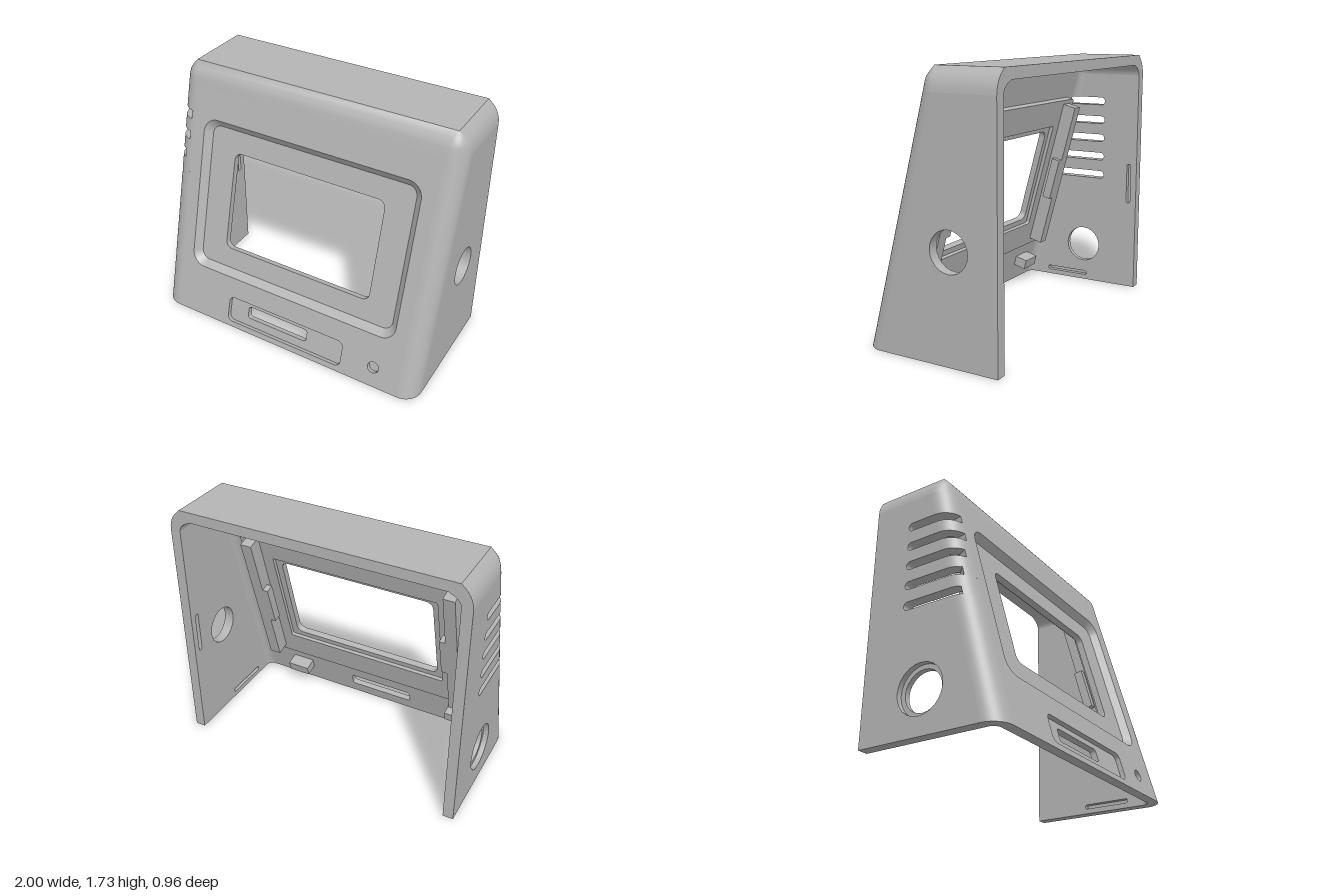
import * as THREE from 'three';
import { toCreasedNormals } from 'three/addons/utils/BufferGeometryUtils.js';

const TILT = Math.PI / 12, TAN = Math.tan(TILT), COS = Math.cos(TILT);
const WALL = 0.07, R = 0.12, BACK = -0.48, HOOD = 1.58;
const front = y => 0.48 - TAN * y;      // z of the sloping front at height y
const edge = y => front(y) - R;         // where the flat side meets the rounded corner

// ventilation slots: height of centre and the corner angle where each one ends
const slots = [[0.832, 29], [0.97, 45], [1.108, 65], [1.243, 80], [1.382, 80]];
const SLOT_R = 0.0275;

const plastic = new THREE.MeshStandardMaterial({ color: 0xb4b4b4 });
plastic.name = 'grey plastic';

function add(parent, name, geo) {
  const mesh = new THREE.Mesh(toCreasedNormals(geo, 0.6), plastic);
  mesh.name = name;
  parent.add(mesh);
  return mesh;
}

function roundRect(Kind, x0, y0, x1, y1, r) {
  const s = new Kind(), q = Math.PI / 2;
  s.absarc(x1 - r, y0 + r, r, -q, 0);
  s.absarc(x1 - r, y1 - r, r, 0, q);
  s.absarc(x0 + r, y1 - r, r, q, 2 * q);
  s.absarc(x0 + r, y0 + r, r, 2 * q, 3 * q);
  s.closePath();
  return s;
}

function circle(x, y, r) {
  const p = new THREE.Path();
  p.absarc(x, y, r, 0, Math.PI * 2);
  return p;
}

function extrude(shape, holes, depth) {
  shape.holes.push(...holes);
  return new THREE.ExtrudeGeometry(shape, { depth, bevelEnabled: false, curveSegments: 12 });
}

// skin over closed rings of points, with optional extra triangles
function loft(rings, extra = []) {
  const pos = [], n = rings[0].length;
  const tri = (...p) => p.forEach(v => pos.push(v.x, v.y, v.z));
  for (let k = 0; k < rings.length - 1; k++) {
    for (let i = 0; i < n; i++) {
      const j = (i + 1) % n, a = rings[k], b = rings[k + 1];
      tri(a[i], a[j], b[j]);
      tri(a[i], b[j], b[i]);
    }
  }
  extra.forEach(t => tri(...t));
  const g = new THREE.BufferGeometry();
  g.setAttribute('position', new THREE.Float32BufferAttribute(pos, 3));
  return g;
}

function arc(cx, cz, y, r, rz, a0, a1, n = 10) {
  return Array.from({ length: n + 1 }, (_, i) => {
    const a = THREE.MathUtils.degToRad(a0 + (a1 - a0) * i / n);
    return new THREE.Vector3(cx + r * Math.cos(a), y, cz + rz * Math.sin(a));
  });
}

// rounded vertical corner between two heights; start is the angle where it begins
function cornerBand(parent, side, y0, y1, start = 0) {
  const [a0, a1] = side > 0 ? [90, start] : [180 - start, 90];
  const rings = [y0, y1].map(y => [
    ...arc(side * (1 - R), edge(y), y, R, R, a0, a1),
    ...arc(side * (1 - R), edge(y), y, R - WALL, R - WALL / COS, a1, a0)]);
  const caps = [], n = rings[0].length, [b, t] = rings;
  for (let i = 0; i < n / 2 - 1; i++) {
    const j = n - 1 - i;
    caps.push([t[i], t[i + 1], t[j - 1]], [t[i], t[j - 1], t[j]]);
    caps.push([b[i], b[j - 1], b[i + 1]], [b[i], b[j], b[j - 1]]);
  }
  add(parent, 'frontCorner', loft(rings, caps));
}

// side outline in (z, y), notched by the ventilation slots when asked
function sideOutline(vented) {
  const s = new THREE.Shape();
  s.moveTo(BACK, 0);
  s.lineTo(edge(0), 0);
  if (vented) for (const [y] of slots) {
    s.lineTo(edge(y - SLOT_R), y - SLOT_R);
    s.absarc(-0.19, y, SLOT_R, -Math.PI / 2, Math.PI / 2, true);
    s.lineTo(edge(y + SLOT_R), y + SLOT_R);
  }
  s.lineTo(edge(HOOD), HOOD);
  s.lineTo(BACK, HOOD);
  s.closePath();
  return s;
}

function sideWall(parent, side) {
  const half = WALL / 2, vented = side < 0;
  const [z, y, rOut, rIn] = vented ? [-0.06, 0.28, 0.16, 0.13] : [-0.155, 0.69, 0.13, 0.13];
  const grooves = [
    roundRect(THREE.Path, -0.435, 0.64, -0.405, 0.93, 0.014),
    roundRect(THREE.Path, -0.09, 0.035, 0.24, 0.065, 0.014)];
  const outer = extrude(sideOutline(vented), [circle(z, y, rOut)], half);
  const inner = extrude(sideOutline(vented), [circle(z, y, rIn), ...grooves], half);
  outer.rotateY(-Math.PI / 2).translate(side > 0 ? 1 : -1 + half, 0, 0);
  inner.rotateY(-Math.PI / 2).translate(side > 0 ? 1 - half : -1 + WALL, 0, 0);
  add(parent, 'sideWallOuter', outer);
  add(parent, 'sideWallInner', inner);
}

// top of the case: rounded then chamfered edges, hollow, open at the back
function hood(parent) {
  // height, inset at the sides, inset at the front, corner radius
  const rows = [[1.58, 0, 0, 0.12], [1.61, 0.003, 0, 0.115], [1.64, 0.012, 0.001, 0.1],
    [1.665, 0.024, 0.005, 0.08], [1.69, 0.042, 0.018, 0.06], [1.725, 0.08, 0.043, 0.002]];
  const u = (w, f, r, y) => [
    new THREE.Vector3(-w, y, BACK),
    ...arc(-w + r, f - r, y, r, r, 180, 90), ...arc(w - r, f - r, y, r, r, 90, 0),
    new THREE.Vector3(w, y, BACK)];
  const rings = rows.map(([y, dx, dz, r]) => {
    const yi = HOOD + (y - HOOD) * 0.075 / 0.145;
    return [...u(1 - dx, front(y) - dz, r, y),
      ...u(1 - WALL - dx, front(yi) - WALL / COS - dz, Math.max(0.002, r - WALL), yi).reverse()];
  });
  const top = rings[rings.length - 1], h = top.length / 2, extra = [];
  for (let i = 1; i < h - 1; i++) extra.push([top[0], top[i], top[i + 1]]);
  extra.push([top[0], top[h - 1], top[h]], [top[0], top[h], top[2 * h - 1]]);
  add(parent, 'hood', loft(rings, extra));

  // ceiling with a latch groove
  const zf = front(1.655) - WALL / COS - 0.043;
  const plate = extrude(roundRect(THREE.Shape, -0.85, BACK, 0.85, zf, 0.001),
    [roundRect(THREE.Path, -0.17, -0.435, 0.17, -0.405, 0.014)], 0.03);
  add(parent, 'ceiling', plate.rotateX(Math.PI / 2).translate(0, 1.685, 0));
  add(parent, 'grooveFloor', new THREE.BoxGeometry(0.4, 0.01, 0.07).translate(0, 1.69, -0.42));
}

// sloping front, built flat with y along the slope and z outward
function frontPanel(parent) {
  const panel = new THREE.Group();
  panel.name = 'frontPanel';
  panel.position.z = 0.48;
  panel.rotation.x = -TILT;
  parent.add(panel);
  const topV = HOOD / COS, w = 1 - R;
  const recess = () => roundRect(THREE.Path, -0.79, 0.373, 0.79, 1.444, 0.1);

  const layer = (name, z0, z1, holes) => {
    const shape = new THREE.Shape([[-w, 0], [w, 0], [w, topV], [-w, topV]].map(p => new THREE.Vector2(...p)));
    const g = extrude(shape, holes, z1 - z0).translate(0, 0, z0), p = g.attributes.position;
    // keep the top and bottom ends level
    for (let i = 0; i < p.count; i++) {
      const v = p.getY(i);
      if (v < 0.001 || v > topV - 0.001) p.setY(i, v - p.getZ(i) * TAN);
    }
    add(panel, name, g);
  };
  layer('frontSkin', -0.03, 0, [recess(),
    roundRect(THREE.Path, -0.45, 0.041, 0.45, 0.228, 0.04), circle(0.685, 0.14, 0.04)]);
  layer('frontBacking', -WALL, -0.03, [recess(),
    roundRect(THREE.Path, -0.305, 0.101, 0.165, 0.189, 0.02)]);

  // bevel around the screen
  const ring = (inset, z) => roundRect(THREE.Shape, -0.79 + inset, 0.373 + inset, 0.79 - inset, 1.444 - inset, 0.1 - inset * 0.8)
    .getPoints(10).map(p => new THREE.Vector3(p.x, p.y, z));
  add(panel, 'screenBevel', loft([ring(0, 0), ring(0.045, -0.045)]));

  // recessed bezel and the stepped seat behind it
  const pad = () => roundRect(THREE.Shape, -0.83, 0.335, 0.83, 1.48, 0.03);
  add(panel, 'screenBezel', extrude(pad(),
    [roundRect(THREE.Path, -0.555, 0.561, 0.555, 1.249, 0.05)], 0.045).translate(0, 0, -0.09));
  add(panel, 'screenSeat', extrude(pad(),
    [roundRect(THREE.Path, -0.6, 0.52, 0.6, 1.29, 0.01)], 0.025).translate(0, 0, -0.115));

  const box = (name, x0, x1, y0, y1, z0, z1) => add(panel, name,
    new THREE.BoxGeometry(Math.abs(x1 - x0), y1 - y0, z1 - z0)
      .translate((x0 + x1) / 2, (y0 + y1) / 2, (z0 + z1) / 2));
  for (const s of [-1, 1]) {
    box('displayRail', s * 0.68, s * 0.76, 0.38, 1.45, -0.21, -0.11);
    box('railClip', s * 0.64, s * 0.68, 0.75, 1.05, -0.21, -0.15);
  }
  box('supportLug', 0.5, 0.66, 0.15, 0.22, -0.16, -0.06);
  box('supportLug', -0.78, -0.62, 0.15, 0.22, -0.16, -0.06);
}

export function createModel() {
  const model = new THREE.Group();
  model.name = 'displayCase';
  frontPanel(model);
  hood(model);
  sideWall(model, 1);
  sideWall(model, -1);
  cornerBand(model, 1, 0, HOOD);
  // vented corner, cut by the slots
  let y = 0;
  for (const [c, angle] of slots) {
    cornerBand(model, -1, y, c - SLOT_R);
    cornerBand(model, -1, c - SLOT_R, c + SLOT_R, angle);
    y = c + SLOT_R;
  }
  cornerBand(model, -1, y, HOOD);
  return model;
}
